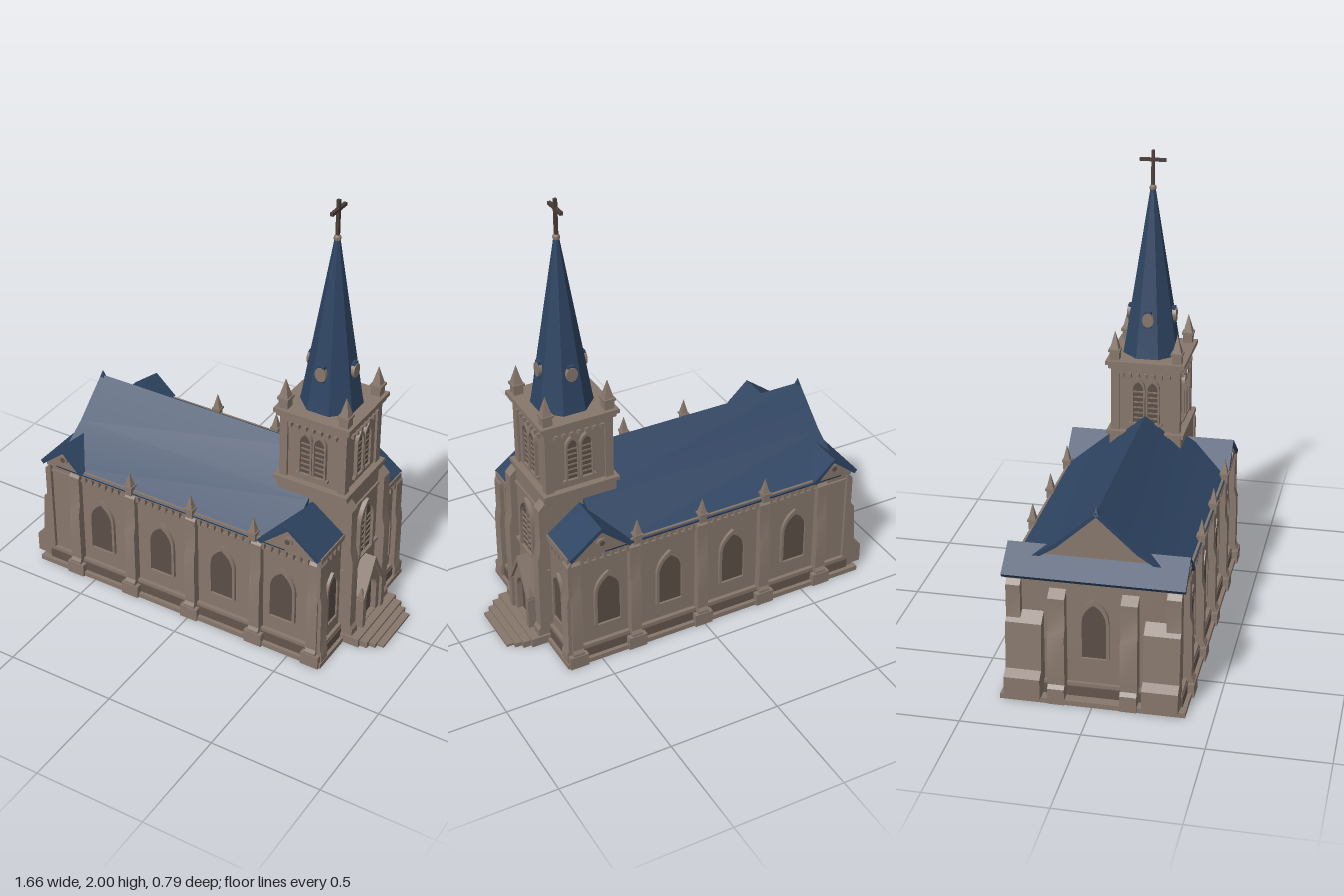
import * as THREE from 'three';
import { toCreasedNormals } from 'three/addons/utils/BufferGeometryUtils.js';

const mat = (name, color) => Object.assign(new THREE.MeshStandardMaterial({ color }), { name });

export function createModel() {
  const root = new THREE.Group();
  root.name = 'church';
  const stone = mat('stone', 0x87776c);
  const darkStone = mat('dark stone', 0x64554d);
  const glass = mat('window glass', 0x5c4e47);
  const slate = mat('blue slate', 0x2e4462);
  const iron = mat('dark iron', 0x4a3d38);

  // ---- helpers ----
  const add = (parent, name, geo, m, x = 0, y = 0, z = 0) => {
    const mesh = new THREE.Mesh(toCreasedNormals(geo, 0.5), m);
    mesh.name = name;
    mesh.position.set(x, y, z);
    parent.add(mesh);
    return mesh;
  };
  // box given by its centre in plan and its bottom and top heights
  const box = (parent, name, m, x, z, w, d, y0, y1) =>
    add(parent, name, new THREE.BoxGeometry(w, y1 - y0, d), m, x, (y0 + y1) / 2, z);
  const poly = pts => new THREE.Shape(pts.map(p => new THREE.Vector2(p[0], p[1])));
  const extrude = (shape, depth) =>
    new THREE.ExtrudeGeometry(shape, { depth, bevelEnabled: false, curveSegments: 6 });
  const prism = (pts, len) => extrude(poly(pts), len).translate(0, 0, -len / 2);
  const pyramid = (r, h) =>
    new THREE.ConeGeometry(r * Math.SQRT2, h, 4).rotateY(Math.PI / 4).translate(0, h / 2, 0);
  const group = (name, x, y, z, rot) => {
    const g = new THREE.Group();
    g.name = name;
    g.position.set(x, y, z);
    g.rotation.y = rot;
    root.add(g);
    return g;
  };
  // pointed arch outline standing on y = 0
  const arch = (w, h, T = THREE.Shape) => {
    const s = new T(), a = w / 2, spring = h - w * 0.85;
    s.moveTo(-a, 0);
    s.lineTo(a, 0);
    s.lineTo(a, spring);
    s.quadraticCurveTo(a, h - w * 0.3, 0, h);
    s.quadraticCurveTo(-a, h - w * 0.3, -a, spring);
    s.closePath();
    return s;
  };
  const archWindow = (parent, w, h, x, y, z, frame = 0.012, depth = 0.014) => {
    add(parent, 'window pane', extrude(arch(w, h), 0.006), glass, x, y, z);
    const ring = arch(w + 2 * frame, h + 1.6 * frame);
    ring.holes.push(arch(w, h - 0.004, THREE.Path).closePath() || arch(w, h - 0.004, THREE.Path));
    add(parent, 'window frame', extrude(ring, depth), stone, x, y - 0.002, z);
  };
  const pinnacle = (parent, x, z, y, r, h) => {
    box(parent, 'pinnacle base', stone, x, z, r * 2, r * 2, y, y + h * 0.35);
    box(parent, 'pinnacle collar', stone, x, z, r * 2.5, r * 2.5, y + h * 0.3, y + h * 0.38);
    add(parent, 'pinnacle tip', pyramid(r, h * 0.64), stone, x, y + h * 0.36, z);
  };
  // stepped buttress projecting along local +z
  const buttress = (parent, x, z, w, d, top) => {
    const side = [[0, 0], [d * 1.25, 0], [d * 1.25, 0.07], [d, 0.085], [d, top * 0.6],
      [d * 0.7, top * 0.68], [d * 0.7, top - 0.03], [0, top]];
    const g = extrude(poly(side), w).translate(0, 0, -w / 2).rotateY(-Math.PI / 2);
    add(parent, 'buttress', g, stone, x, 0, z);
  };

  // ---- nave body ----
  const nave = group('nave', 0, 0, 0, 0);
  box(nave, 'base slab', stone, -0.07, 0, 1.46, 0.77, 0, 0.022);
  box(nave, 'plinth', darkStone, -0.055, 0, 1.4, 0.735, 0.02, 0.065);
  box(nave, 'plinth cap', stone, -0.055, 0, 1.39, 0.725, 0.065, 0.08);
  box(nave, 'nave walls', stone, -0.055, 0, 1.36, 0.69, 0.05, 0.555);
  box(nave, 'cornice', stone, -0.055, 0, 1.39, 0.725, 0.535, 0.56);

  // main gable with a slightly flared roof
  const gable = [[-0.34, 0.54], [0.34, 0.54], [0.165, 0.665], [0, 0.815], [-0.165, 0.665]];
  add(nave, 'gable wall', prism(gable, 1.13).rotateY(Math.PI / 2), stone, -0.12);
  const roofTop = [[-0.368, 0.55], [-0.17, 0.678], [0, 0.83], [0.17, 0.678], [0.368, 0.55]];
  const roofUnder = [[0.36, 0.535], [0.165, 0.66], [0, 0.81], [-0.165, 0.66], [-0.36, 0.535]];
  add(nave, 'main roof', prism([...roofTop, ...roofUnder], 1.16).rotateY(Math.PI / 2), slate, -0.115);
  add(nave, 'ridge finial', pyramid(0.012, 0.04), slate, -0.685, 0.815, 0);

  // cross gables at both ends
  for (const [x, a, b, apex] of [[0.485, 0.13, 0.14, 0.672], [-0.65, 0.09, 0.11, 0.65]]) {
    const l = x > 0 ? a : b, r = x > 0 ? b : a;
    add(nave, 'cross gable wall', prism([[-l, 0.55], [r, 0.55], [0, apex - 0.012]], 0.735), stone, x);
    add(nave, 'cross gable roof', prism([[-l - 0.012, 0.558], [-l, 0.542], [0, apex - 0.018],
      [r, 0.542], [r + 0.012, 0.558], [0, apex]], 0.752), slate, x);
    for (const s of [-1, 1]) {
      const disc = new THREE.CylinderGeometry(0.022, 0.022, 0.012, 12).rotateX(Math.PI / 2);
      add(nave, 'gable roundel', disc, stone, x, 0.6, s * 0.371);
      const eye = new THREE.CylinderGeometry(0.012, 0.012, 0.006, 12).rotateX(Math.PI / 2);
      add(nave, 'roundel eye', eye, glass, x, 0.6, s * 0.376);
    }
  }

  // ---- long sides: windows, buttresses, corbels ----
  for (const s of [1, -1]) {
    const side = group('side wall', 0, 0, s * 0.345, s > 0 ? 0 : Math.PI);
    for (const x of [-0.47, -0.155, 0.155, 0.45]) archWindow(side, 0.108, 0.25, s * x, 0.165, 0);
    for (const x of [-0.6, -0.305, 0.005, 0.33, 0.61]) {
      buttress(side, s * x, 0, 0.05, 0.036, 0.55);
      box(side, 'buttress foot', stone, s * x, 0.025, 0.085, 0.05, 0, 0.06);
    }
    for (const x of [-0.305, 0.005, 0.315]) pinnacle(side, s * x, 0.017, 0.54, 0.016, 0.115);
    for (let x = -0.55; x < 0.6; x += 0.035) box(side, 'corbel', stone, s * x, 0.008, 0.014, 0.02, 0.505, 0.538);
    box(side, 'string course', stone, s * -0.055, 0.003, 1.36, 0.012, 0.497, 0.507);
  }

  // ---- rear end ----
  const rear = group('rear wall', -0.735, 0, 0, -Math.PI / 2);
  archWindow(rear, 0.1, 0.25, 0, 0.2, 0);
  for (const s of [-1, 1]) {
    buttress(rear, s * 0.15, 0, 0.07, 0.055, 0.5);
    buttress(rear, s * 0.33, 0, 0.06, 0.04, 0.54);
    add(rear, 'rear side block', prism([[0, 0.03], [0.095, 0.03], [0.095, 0.12], [0.06, 0.145],
      [0.045, 0.35], [0, 0.39]], 0.15).rotateY(-Math.PI / 2), stone, s * 0.285);
  }

  // ---- front end beside the tower ----
  const front = group('front wall', 0.625, 0, 0, Math.PI / 2);
  for (const s of [-1, 1]) {
    archWindow(front, 0.075, 0.235, s * 0.245, 0.16, 0);
    buttress(front, s * 0.345, 0, 0.055, 0.026, 0.55);
    for (let i = 0; i < 4; i++) box(front, 'corbel', stone, s * (0.2 + i * 0.035), 0.006, 0.014, 0.02, 0.505, 0.538);
  }

  // ---- tower ----
  const cx = 0.472;
  const tower = group('tower', cx, 0, 0, 0);
  box(tower, 'lower tower', stone, 0.004, 0, 0.335, 0.325, 0, 0.74);
  box(tower, 'tower belt', stone, 0, 0, 0.35, 0.35, 0.735, 0.752);
  box(tower, 'upper tower', stone, 0, 0, 0.29, 0.29, 0.75, 1.06);
  box(tower, 'tower frieze', stone, 0, 0, 0.31, 0.31, 1.025, 1.05);
  box(tower, 'tower cornice', stone, 0, 0, 0.355, 0.355, 1.066, 1.085);
  box(tower, 'cornice moulding', stone, 0, 0, 0.335, 0.335, 1.048, 1.068);
  for (const sx of [-1, 1]) for (const sz of [-1, 1]) {
    box(tower, 'corner pilaster', stone, sx * 0.138, sz * 0.138, 0.036, 0.036, 0.75, 1.05);
    pinnacle(tower, sx * 0.14, sz * 0.14, 1.083, 0.021, 0.135);
  }
  for (let i = 0; i < 4; i++) {
    const face = group('belfry face', cx, 0, 0, i * Math.PI / 2);
    for (const s of [-1, 1]) {
      archWindow(face, 0.046, 0.2, s * 0.033, 0.795, 0.145, 0.008, 0.016);
      for (let k = 0; k < 6; k++) box(face, 'louvre', stone, s * 0.033, 0.15, 0.044, 0.008, 0.812 + k * 0.025, 0.819 + k * 0.025);
    }
    box(face, 'belfry sill', stone, 0, 0.15, 0.15, 0.02, 0.78, 0.793);
    for (let k = -3; k <= 3; k++) box(face, 'cornice corbel', stone, k * 0.035, 0.155, 0.014, 0.02, 1.008, 1.028);
    // round light on the spire
    box(face, 'spire light hood', slate, 0, 0.088, 0.03, 0.036, 1.225, 1.3);
    const disc = new THREE.CylinderGeometry(0.026, 0.026, 0.03, 12).rotateX(Math.PI / 2).scale(1, 1.25, 1);
    add(face, 'spire light', disc, stone, 0, 1.262, 0.095);
  }

  // ---- tower front and porch ----
  const porch = group('porch', 0.644, 0, 0, Math.PI / 2);
  archWindow(porch, 0.105, 0.255, 0, 0.38, 0, 0.014, 0.02);
  box(porch, 'window mullion', stone, 0, 0.006, 0.008, 0.012, 0.38, 0.6);
  for (let k = 0; k < 6; k++) box(porch, 'window bar', stone, 0, 0.006, 0.1, 0.01, 0.405 + k * 0.028, 0.411 + k * 0.028);
  box(porch, 'porch string course', stone, 0, 0, 0.34, 0.03, 0.362, 0.375);
  box(porch, 'tower string course', stone, 0, 0, 0.33, 0.016, 0.655, 0.667);
  for (const s of [-1, 1]) {
    buttress(porch, s * 0.145, 0, 0.05, 0.042, 0.72);
    box(porch, 'porch pier', stone, s * 0.086, 0.03, 0.026, 0.075, 0.03, 0.2);
    add(porch, 'porch pier tip', pyramid(0.013, 0.05), stone, s * 0.086, 0.2, 0.05);
  }
  const portal = poly([[-0.08, 0.03], [0.08, 0.03], [0.08, 0.2], [0, 0.345], [-0.08, 0.2]]);
  const opening = arch(0.09, 0.2, THREE.Path);
  portal.holes.push(new THREE.Path(opening.getPoints(6).map(p => p.add(new THREE.Vector2(0, 0.045)))));
  add(porch, 'portal', extrude(portal, 0.055), stone);
  add(porch, 'portal coping', extrude(poly([[-0.1, 0.188], [-0.086, 0.182], [0, 0.335], [0.086, 0.182],
    [0.1, 0.188], [0, 0.365]]), 0.068), stone);
  add(porch, 'door', extrude(arch(0.094, 0.205), 0.008), glass, 0, 0.043, 0.022);
  box(porch, 'door seam', iron, 0, 0.032, 0.004, 0.006, 0.045, 0.22);
  [[0.36, 0.09, 0.04], [0.33, 0.125, 0.03], [0.29, 0.155, 0.02], [0.25, 0.186, 0.011]].forEach(([w, d, h]) =>
    box(porch, 'step', stone, 0, d / 2, w, d, 0, h));

  // ---- spire and cross ----
  const spire = new THREE.LatheGeometry([[0, 1.08], [0.132, 1.085], [0.127, 1.11], [0.1, 1.28], [0.012, 1.83], [0, 1.84]]
    .map(p => new THREE.Vector2(p[0], p[1])), 8).rotateY(Math.PI / 8);
  add(tower, 'spire', spire, slate);
  add(tower, 'cross knob', new THREE.SphereGeometry(0.016, 10, 8), stone, 0, 1.835, 0);
  box(tower, 'cross post', iron, 0, 0, 0.014, 0.014, 1.83, 2);
  box(tower, 'cross arm', iron, 0, 0, 0.014, 0.115, 1.952, 1.966);
  return root;
}
